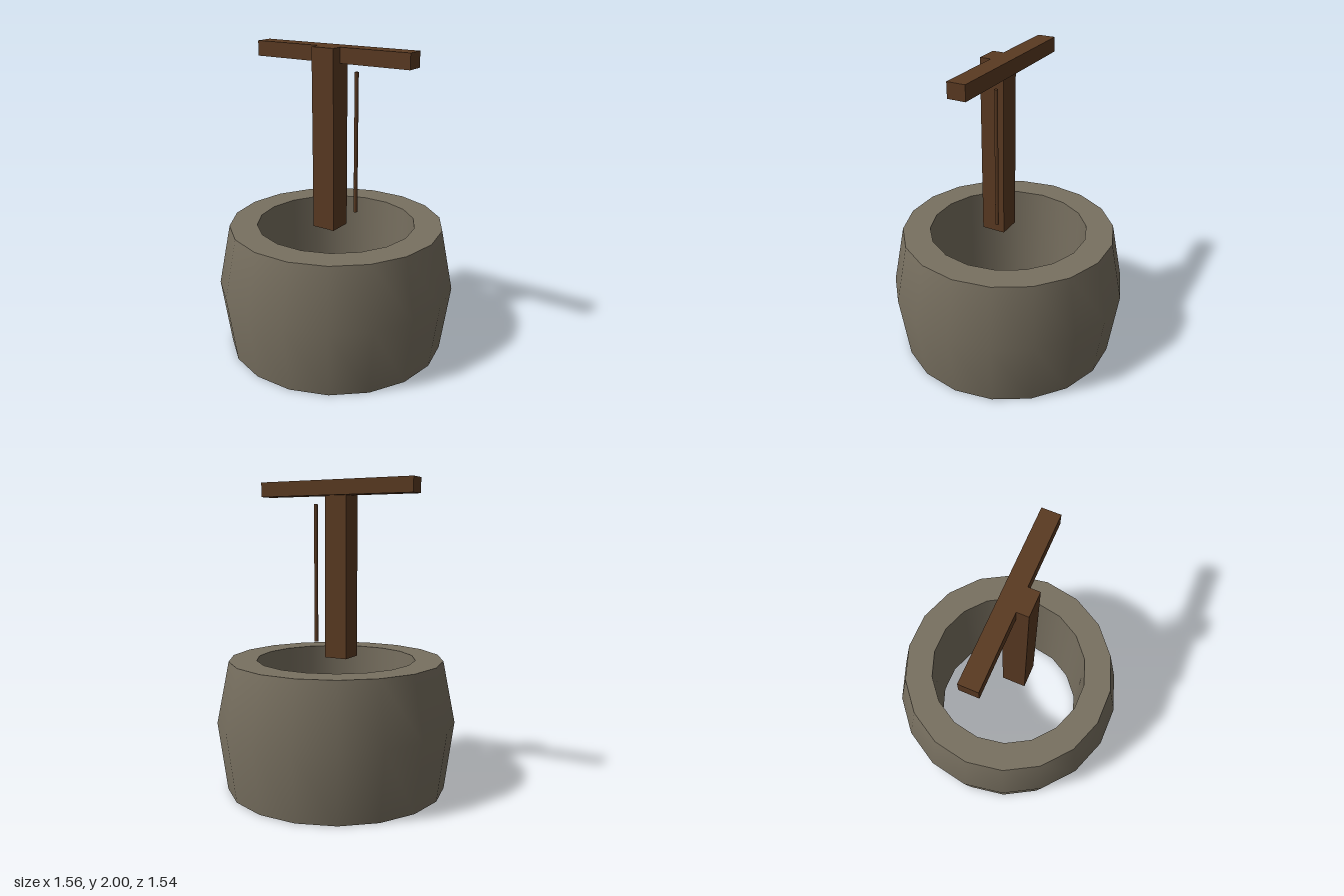
import * as THREE from 'three';

export function createModel() {
  const model = new THREE.Group();
  const stone = new THREE.MeshStandardMaterial({ color: 0x787060, side: THREE.DoubleSide });
  stone.name = 'stone';
  const wood = new THREE.MeshStandardMaterial({ color: 0x5a3a22 });
  wood.name = 'wood';

  const add = (name, geometry, material, x = 0, y = 0, z = 0) => {
    const mesh = new THREE.Mesh(geometry, material);
    mesh.name = name;
    mesh.position.set(x, y, z);
    model.add(mesh);
    return mesh;
  };

  // Well: an 18-sided ring, open underneath; separate sections keep the rim edges sharp
  const ring = (name, profile) => {
    const points = profile.map(([r, y]) => new THREE.Vector2(r, y));
    add(name, new THREE.LatheGeometry(points, 18, Math.PI / 2), stone);
  };
  ring('outerWall', [[0.72, 0], [0.78, 0.45], [0.7, 0.85]]);
  ring('rim', [[0.7, 0.85], [0.52, 0.85]]);
  ring('innerWall', [[0.52, 0.85], [0.52, 0]]);

  // Wooden hoist: post, crossbar and the thin hanging rod
  add('post', new THREE.BoxGeometry(0.156, 1.15, 0.156), wood, 0, 1.425, 0.07);
  add('crossbar', new THREE.BoxGeometry(1.1, 0.096, 0.117), wood, 0, 1.952, 0.017);
  add('hangingRod', new THREE.CylinderGeometry(0.0125, 0.0125, 0.9, 6), wood, 0.15, 1.4, 0.001);

  return model;
}
